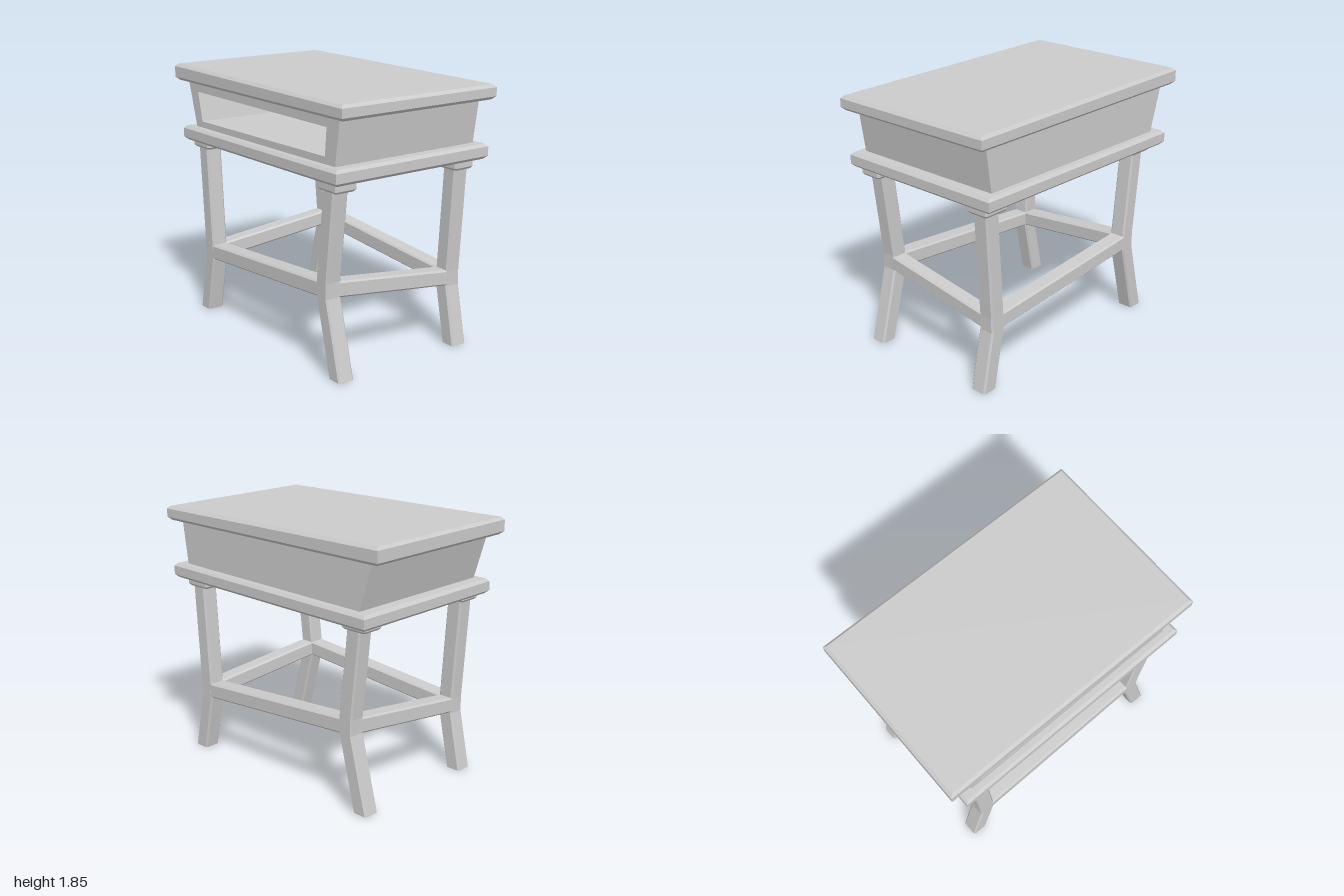
import * as THREE from 'three';

const V = (x, y, z) => new THREE.Vector3(x, y, z);
const X = V(1, 0, 0), Y = V(0, 1, 0), Z = V(0, 0, 1);
const material = new THREE.MeshStandardMaterial({ color: 0xcccccc, flatShading: true });

// Rectangle around c along axes u and v; a chamfer turns it into an octagon.
// u x v points along the direction in which the rings are lofted.
function ring(c, u, v, hu, hv, ch = 0) {
  const points = [];
  [[1, 1], [-1, 1], [-1, -1], [1, -1]].forEach(([a, b], i) => {
    const at = (p, q) => points.push(c.clone().addScaledVector(u, p).addScaledVector(v, q));
    if (!ch) return at(a * hu, b * hv);
    const pair = [[a * hu, b * (hv - ch)], [a * (hu - ch), b * hv]];
    if (i % 2) pair.reverse();
    pair.forEach(([p, q]) => at(p, q));
  });
  return points;
}

// Closed solid through a list of rings
function loft(rings) {
  const n = rings[0].length, index = [], last = (rings.length - 1) * n;
  for (let r = 0; r < rings.length - 1; r++) {
    for (let i = 0; i < n; i++) {
      const a = r * n + i, b = r * n + (i + 1) % n;
      index.push(a, b, b + n, a, b + n, a + n);
    }
  }
  for (let i = 1; i < n - 1; i++) {
    index.push(0, i + 1, i, last, last + i, last + i + 1);
  }
  const indexed = new THREE.BufferGeometry().setFromPoints(rings.flat());
  indexed.setIndex(index);
  const geometry = indexed.toNonIndexed();
  geometry.computeVertexNormals();
  return geometry;
}

// Slightly crooked board with bevelled edges
function slab(cx, y0, y1, hx, hz, tilt0, tilt1) {
  const level = (y, inset, tilt) =>
    ring(V(cx, y, 0), Z, V(1, tilt, 0), hz - inset, hx - inset);
  return loft([
    level(y0, 0.025, tilt0), level(y0 + 0.022, 0, tilt0),
    level(y1 - 0.02, 0, tilt1), level(y1, 0.02, tilt1),
  ]);
}

function polygon(PathType, points) {
  return new PathType(points.map(([x, y]) => new THREE.Vector2(x, y)));
}

export function createModel() {
  const group = new THREE.Group();
  const add = (name, geometry) => {
    const mesh = new THREE.Mesh(geometry, material);
    mesh.name = name;
    group.add(mesh);
    return mesh;
  };

  // Top and lower boards
  add('tableTop', slab(0, 1.732, 1.843, 1, 0.64, 0.001, -0.008));
  add('lowerBoard', slab(0.022, 1.312, 1.418, 0.923, 0.64, 0.011, 0.011));

  // Flared case with an open compartment in front
  const outline = [[-0.8, 1.38], [0.85, 1.38], [0.907, 1.77], [-0.917, 1.77]];
  const shell = polygon(THREE.Shape, outline);
  shell.holes.push(polygon(THREE.Path,
    [[-0.73, 1.455], [-0.78, 1.665], [0.77, 1.662], [0.753, 1.475]]));
  add('caseShell', new THREE.ExtrudeGeometry(shell, { depth: 1.1, bevelEnabled: false }))
    .position.z = -0.52;
  add('caseBack', new THREE.ExtrudeGeometry(polygon(THREE.Shape, outline),
    { depth: 0.06, bevelEnabled: false })).position.z = -0.58;

  // Bent legs: x at foot, knee and top, knee height, depth
  const legs = {
    frontRight: { foot: -0.785, knee: -0.697, top: -0.745, y: 0.475, z: 0.515, cap: -0.735 },
    frontLeft: { foot: 0.843, knee: 0.705, top: 0.78, y: 0.588, z: 0.515, cap: 0.79 },
    backRight: { foot: -0.785, knee: -0.65, top: -0.72, y: 0.588, z: -0.48, cap: -0.735 },
    backLeft: { foot: 0.843, knee: 0.758, top: 0.805, y: 0.475, z: -0.48, cap: 0.79 },
  };
  for (const [name, l] of Object.entries(legs)) {
    const at = (x, y) => ring(V(x, y, l.z), Z, X, 0.06, 0.058, 0.012);
    add(name + 'Leg', loft([
      at(l.foot, 0), at(l.knee, l.y - 0.055), at(l.knee, l.y + 0.055), at(l.top, 1.29),
    ]));
    const cap = (y, inset) =>
      ring(V(l.cap, y, l.z), Z, X, 0.084 - inset, 0.1 - inset, 0.01);
    add(name + 'LegCap', loft([cap(1.26, 0.012), cap(1.275, 0), cap(1.35, 0)]));
  }

  // Sloping stretchers joining neighbouring legs at the knees
  const knee = (l) => V(l.knee, l.y, l.z);
  for (const [side, a, b] of [['front', legs.frontRight, legs.frontLeft],
    ['back', legs.backRight, legs.backLeft]]) {
    add(side + 'Stretcher', loft([a, b].map((l) => ring(knee(l), Y, Z, 0.056, 0.059, 0.012))));
  }
  for (const [side, a, b] of [['right', legs.backRight, legs.frontRight],
    ['left', legs.backLeft, legs.frontLeft]]) {
    add(side + 'Stretcher', loft([a, b].map((l) => ring(knee(l), X, Y, 0.057, 0.056, 0.012))));
  }
  return group;
}
